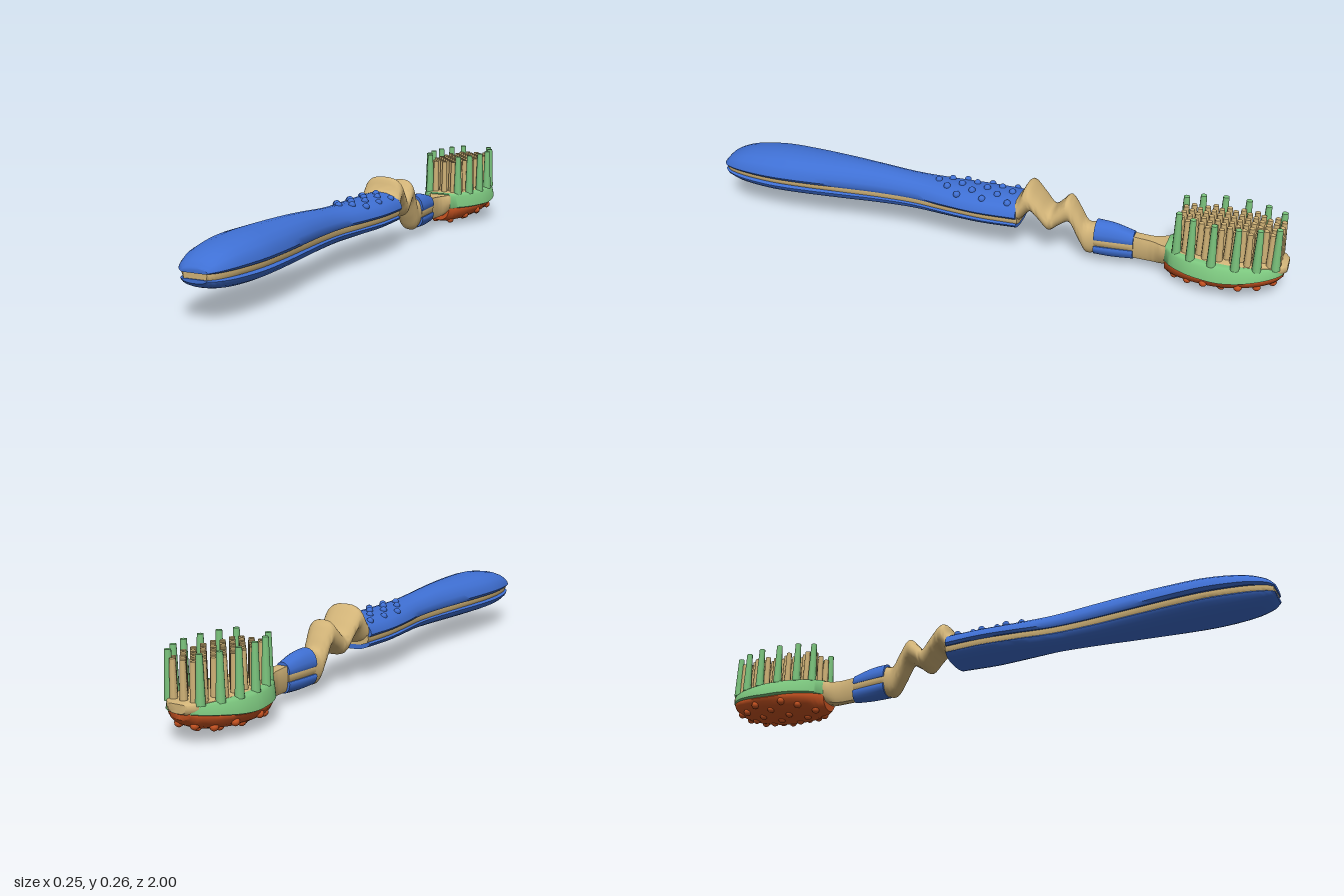
import * as THREE from 'three';
import { toCreasedNormals } from 'three/addons/utils/BufferGeometryUtils.js';

const mat = (c) => new THREE.MeshStandardMaterial({ color: c });
const BLUE = mat(0x3f70d4), TAN = mat(0xd2b478), GREEN = mat(0x7cc67e), ORANGE = mat(0xcc5522);

// Cross-sections: right half from bottom to top, u = half width, v = height (0..1)
const mirrorProfile = (half) => [
  ...half,
  ...half.slice().reverse().filter(([u]) => u > 0).map(([u, v]) => [-u, v]),
];
const DOME = mirrorProfile([[0, 0], [0.6, 0], [0.92, 0.03], [1, 0.17], [0.95, 0.4], [0.82, 0.65], [0.6, 0.85], [0.3, 0.97], [0, 1]]);
const BOWL = mirrorProfile([[0, 0], [0.3, 0.03], [0.6, 0.16], [0.82, 0.38], [0.95, 0.65], [1, 0.88], [0.97, 1], [0, 1]]);
const BAND = mirrorProfile([[0, 0], [0.94, 0], [1, 0.06], [0.93, 0.8], [0.86, 0.96], [0.78, 1], [0, 1]]);
const OVAL = mirrorProfile(Array.from({ length: 13 }, (_, i) => {
  const a = (i / 12 - 0.5) * Math.PI;
  return [i % 12 ? Math.cos(a) ** 0.75 : 0, 0.5 + 0.5 * Math.sin(a)];
}));
const BLOCK = mirrorProfile([[0, 0], [0.6, 0.04], [0.92, 0.25], [1, 0.6], [0.96, 0.92], [0.85, 1], [0, 1]]);

// Smooth loft along -z; stations are [z, halfWidth, yBottom, yTop, zTop = z]
function loft(name, material, profile, stations, crease = 0.8, steps = 5) {
  const size = new THREE.CatmullRomCurve3(stations.map((s) => new THREE.Vector3(s[1], s[2], s[3])), false, 'catmullrom');
  const along = new THREE.CatmullRomCurve3(stations.map((s) => new THREE.Vector3(s[0], s[4] ?? s[0], 0)), false, 'catmullrom');
  const rows = (stations.length - 1) * steps, n = profile.length;
  const pos = [], idx = [];
  for (let i = 0; i <= rows; i++) {
    const s = size.getPoint(i / rows), z = along.getPoint(i / rows);
    for (const [u, v] of profile) {
      pos.push(u * s.x, s.y + v * (s.z - s.y), z.x + v * (z.y - z.x));
    }
  }
  for (let i = 0; i < rows; i++) {
    for (let j = 0; j < n; j++) {
      const a = i * n + j, b = i * n + (j + 1) % n;
      idx.push(a, a + n, b, b, a + n, b + n);
    }
  }
  // End caps
  for (const row of [0, rows]) {
    const s = size.getPoint(row / rows), z = along.getPoint(row / rows), c = pos.length / 3;
    pos.push(0, (s.y + s.z) / 2, (z.x + z.y) / 2);
    for (let j = 0; j < n; j++) {
      const a = row * n + j, b = row * n + (j + 1) % n;
      idx.push(c, ...(row ? [b, a] : [a, b]));
    }
  }
  const geo = new THREE.BufferGeometry();
  geo.setAttribute('position', new THREE.Float32BufferAttribute(pos, 3));
  geo.setIndex(idx);
  const mesh = new THREE.Mesh(toCreasedNormals(geo, crease), material);
  mesh.name = name;
  return mesh;
}

const flip = (profile) => profile.map(([u, v]) => [u, 1 - v]).reverse();

// Group of equal small meshes at the given points
function scatter(name, geometry, material, points) {
  const group = new THREE.Group();
  group.name = name;
  for (const [x, y, z] of points) {
    const m = new THREE.Mesh(geometry, material);
    m.position.set(x, y, z);
    m.name = name + 'Piece';
    group.add(m);
  }
  return group;
}

export function createModel() {
  const model = new THREE.Group();
  model.name = 'toothbrush';

  // Handle: two grips around a recessed core. [z, halfWidth, bottom, top]
  const handle = [
    [1.0, 0.045, 0.112, 0.155], [0.975, 0.068, 0.096, 0.178], [0.91, 0.09, 0.083, 0.202],
    [0.8, 0.103, 0.078, 0.217], [0.68, 0.098, 0.079, 0.22], [0.53, 0.082, 0.082, 0.219],
    [0.4, 0.068, 0.086, 0.214], [0.27, 0.064, 0.09, 0.205], [0.14, 0.08, 0.092, 0.2],
    [0.02, 0.09, 0.092, 0.2], [-0.11, 0.084, 0.095, 0.202],
  ];
  model.add(
    loft('upperGrip', BLUE, DOME, handle.map(([z, w, , t]) => [z, w, 0.141, t])),
    loft('lowerGrip', BLUE, flip(DOME), handle.map(([z, w, b]) => [z, w * 0.92, b, 0.124])),
    loft('handleCore', TAN, BLOCK, handle.map(([z, w]) => [z - 0.004, w * 0.88, 0.112, 0.15])),
  );

  // Grip bumps in staggered rows
  const gripBumps = [];
  [-0.075, -0.03, 0.015, 0.06, 0.105, 0.15, 0.19].forEach((z, i) => {
    const xs = i % 2 ? [-0.028, 0.028] : i < 5 ? [-0.056, 0, 0.056] : [0];
    for (const x of xs) gripBumps.push([x, 0.201 - 4.2 * x * x, z]);
  });
  model.add(scatter('gripBump', new THREE.SphereGeometry(0.012, 12, 8), BLUE, gripBumps));

  // Zigzag flexible neck
  model.add(loft('zigzagNeck', TAN, OVAL, [
    [-0.08, 0.074, 0.11, 0.19, -0.09], [-0.108, 0.074, 0.115, 0.212, -0.113],
    [-0.15, 0.07, 0.158, 0.252, -0.136], [-0.18, 0.065, 0.135, 0.215, -0.177],
    [-0.214, 0.059, 0.098, 0.175, -0.217], [-0.25, 0.054, 0.122, 0.2, -0.25],
    [-0.285, 0.049, 0.135, 0.224, -0.276], [-0.315, 0.044, 0.075, 0.182, -0.31],
    [-0.342, 0.04, 0.03, 0.14, -0.338], [-0.375, 0.036, 0.034, 0.142, -0.375],
  ], 1.2));

  // Collar: two shells around the core
  const collar = [[-0.37, 0.042, 0.03, 0.152], [-0.43, 0.036, 0.028, 0.149], [-0.5, 0.027, 0.032, 0.132]];
  model.add(
    loft('upperCollar', BLUE, DOME, collar.map(([z, w, , t]) => [z, w, 0.093, t])),
    loft('lowerCollar', BLUE, flip(DOME), collar.map(([z, w, b]) => [z, w, b, 0.072])),
    loft('collarCore', TAN, BLOCK, collar.map(([z, w]) => [z, w * 0.9, 0.06, 0.105])),
  );

  // Neck widening into the head plate
  model.add(loft('headPlate', TAN, BLOCK, [
    [-0.49, 0.02, 0.036, 0.122], [-0.56, 0.022, 0.036, 0.118], [-0.6, 0.04, 0.042, 0.118],
    [-0.65, 0.066, 0.06, 0.125], [-0.72, 0.088, 0.066, 0.126], [-0.8, 0.094, 0.068, 0.127],
    [-0.88, 0.088, 0.072, 0.128], [-0.94, 0.074, 0.078, 0.128], [-0.98, 0.054, 0.086, 0.126],
    [-1.0, 0.03, 0.094, 0.122],
  ]));

  // Oval rim and rounded back of the head. [z, halfWidth, bottom of back]
  const head = [
    [-0.61, 0.046, 0.02], [-0.64, 0.076, 0.012], [-0.69, 0.104, 0.011], [-0.75, 0.12, 0.013],
    [-0.8, 0.124, 0.017], [-0.86, 0.118, 0.023], [-0.92, 0.098, 0.034], [-0.965, 0.07, 0.052],
    [-0.99, 0.042, 0.074],
  ];
  const rimBottom = (z) => 0.068 + 0.15 * Math.max(0, -z - 0.82);
  model.add(
    loft('headRim', GREEN, BAND, head.map(([z, w]) => [z, w, rimBottom(z), 0.123])),
    loft('headBack', ORANGE, BOWL, head.map(([z, w, b]) => [z, w * 0.89, b, rimBottom(z) + 0.004])),
  );

  // Studs on the back of the head
  const studs = [];
  const studRows = [
    [-0.645, 0.011, 0.07, [-0.03, 0.03]], [-0.695, 0.011, 0.094, [-0.07, 0, 0.07]],
    [-0.75, 0.013, 0.107, [-0.095, -0.037, 0.037, 0.095]], [-0.805, 0.018, 0.11, [-0.072, 0, 0.072]],
    [-0.86, 0.024, 0.105, [-0.092, -0.036, 0.036, 0.092]], [-0.915, 0.033, 0.09, [-0.06, 0, 0.06]],
    [-0.96, 0.05, 0.065, [-0.028, 0.028]],
  ];
  for (const [z, b, w, xs] of studRows) {
    for (const x of xs) studs.push([x, b + (0.07 - b) * (1 - Math.sqrt(1 - (x / w) ** 2)) + 0.003, z]);
  }
  model.add(scatter('backStud', new THREE.SphereGeometry(0.0135, 12, 8), ORANGE, studs));

  // Short inner bristles in staggered rows
  const inner = [];
  for (let i = 0; i < 15; i++) {
    const z = -0.655 - i * 0.0224;
    const limit = 0.086 * Math.sqrt(1 - ((z + 0.81) / 0.19) ** 2);
    const count = i % 2 ? 4 : 5;
    for (let j = 0; j < count; j++) {
      const x = (j - (count - 1) / 2) * 0.036;
      if (Math.abs(x) < limit) inner.push([x, 0.18, z]);
    }
  }
  model.add(scatter('innerBristle', new THREE.CylinderGeometry(0.009, 0.012, 0.12, 8), TAN, inner));

  // Tall outer bristles along the rim
  const outer = [];
  for (const [z, x] of [[-0.65, 0.058], [-0.7, 0.084], [-0.77, 0.098], [-0.845, 0.098], [-0.91, 0.082], [-0.965, 0.055]]) {
    outer.push([x, 0.19, z], [-x, 0.19, z]);
  }
  model.add(scatter('outerBristle', new THREE.CylinderGeometry(0.01, 0.015, 0.146, 10), GREEN, outer));

  return model;
}
